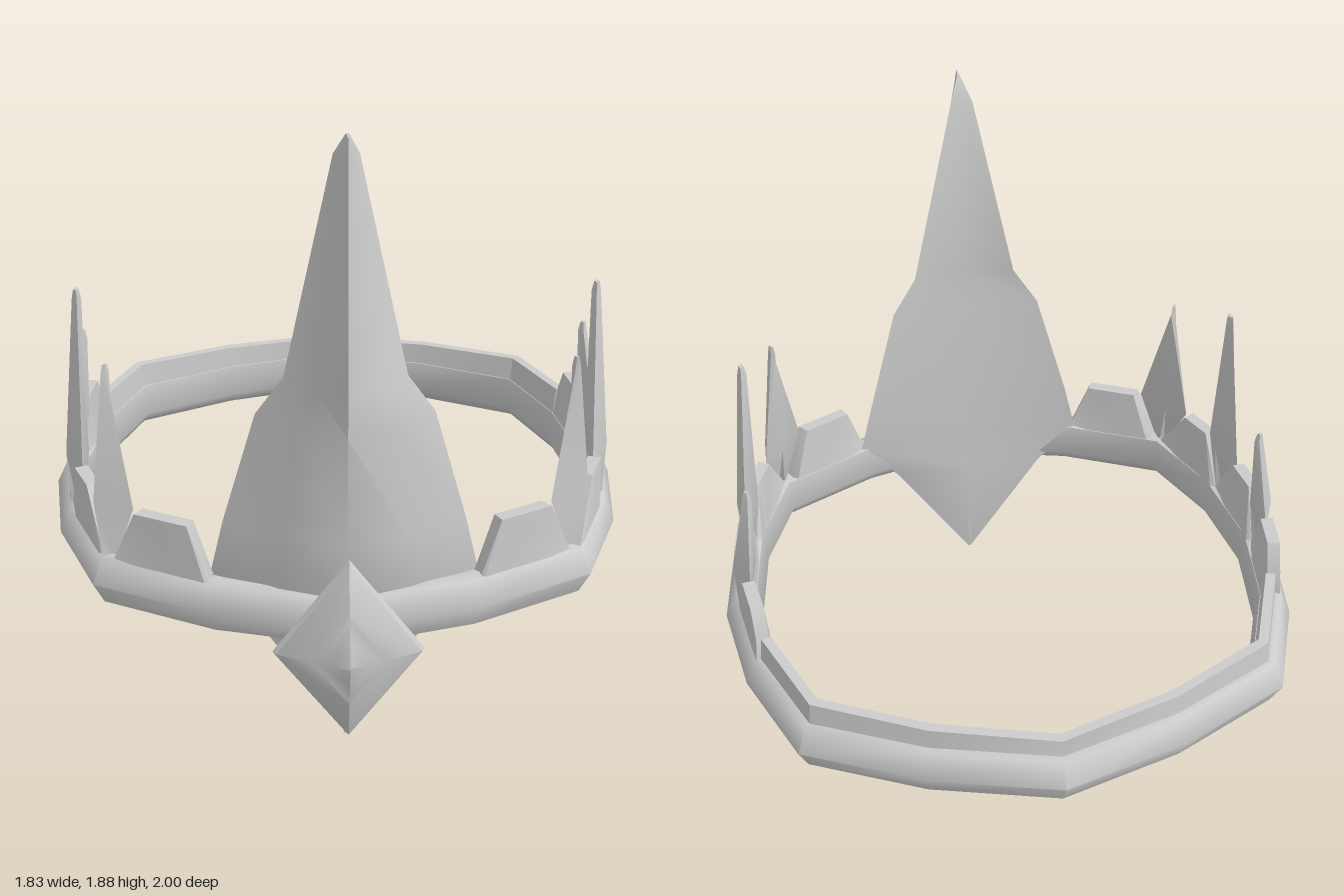
import * as THREE from 'three';
import { toCreasedNormals } from 'three/addons/utils/BufferGeometryUtils.js';

const material = new THREE.MeshStandardMaterial({ color: 0xcccccc });

// Plan of the ring's outer edge as [x, z], left half from front to back
const half = [[0, 0.83], [0.39, 0.73], [0.74, 0.56], [0.87, 0.25], [0.915, -0.08],
  [0.87, -0.4], [0.74, -0.72], [0.39, -0.89], [0, -1]];
const outline = [...half, ...half.slice(1, -1).reverse().map(([x, z]) => [-x, z])]
  .map(([x, z]) => new THREE.Vector2(x, z));

// Inward mitre direction at each corner of the plan
const mitres = outline.map((p, i) => {
  const n = outline.length;
  const normal = (a, b) => new THREE.Vector2(b.y - a.y, a.x - b.x).normalize();
  const a = normal(outline[(i + n - 1) % n], p);
  const b = normal(p, outline[(i + 1) % n]);
  const m = a.clone().add(b).normalize();
  m.divideScalar(m.dot(a));
  return m.dot(p) > 0 ? m.negate() : m;
});

// Point at a corner of the plan, moved inward
function corner(i, inset, y) {
  const p = outline[i].clone().addScaledVector(mitres[i], inset);
  return [p.x, y, p.y];
}

// Point on the left (side 1) or right (side -1) of the plan, found by its z
function along(side, z, inset, y) {
  let i = 0;
  while (i < half.length - 2 && half[i + 1][1] > z) i++;
  const t = (half[i][1] - z) / (half[i][1] - half[i + 1][1]);
  const a = corner(i, inset, y), b = corner(i + 1, inset, y);
  return [side * (a[0] + (b[0] - a[0]) * t), y, a[2] + (b[2] - a[2]) * t];
}

// Skin over a row of equal cross-sections, capped or joined end to end
function loft(name, rings, crease = 0.7, closed = false) {
  const n = rings[0].length, tris = [];
  const count = closed ? rings.length : rings.length - 1;
  for (let i = 0; i < count; i++) {
    const a = rings[i], b = rings[(i + 1) % rings.length];
    for (let j = 0; j < n; j++) {
      const k = (j + 1) % n;
      tris.push([a[j], a[k], b[k]], [a[j], b[k], b[j]]);
    }
  }
  if (!closed) {
    const a = rings[0], b = rings[rings.length - 1];
    for (let j = 1; j < n - 1; j++) tris.push([a[0], a[j + 1], a[j]], [b[0], b[j], b[j + 1]]);
  }
  // Turn the faces outward if the enclosed volume is negative
  const v = (p) => new THREE.Vector3(...p);
  const volume = tris.reduce((s, [a, b, c]) => s + v(a).dot(v(b).cross(v(c))), 0);
  if (volume < 0) tris.forEach((t) => t.reverse());
  const geometry = new THREE.BufferGeometry();
  geometry.setAttribute('position', new THREE.Float32BufferAttribute(tris.flat(2), 3));
  const mesh = new THREE.Mesh(toCreasedNormals(geometry, crease), material);
  mesh.name = name;
  return mesh;
}

export function createModel() {
  const group = new THREE.Group();
  group.name = 'crown';

  // Bevelled ring
  const profile = [[0, 0.455], [0.035, 0.53], [0.06, 0.537], [0.1, 0.525], [0.112, 0.42], [0.085, 0.38], [0.035, 0.38]];
  group.add(loft('ring', outline.map((_, i) => profile.map(([d, y]) => corner(i, d, y))), 1, true));

  // Low rim around the back
  const rim = [];
  for (let i = 5; i <= 11; i++) {
    const top = 0.59 + 0.025 * Math.abs(i - 8) / 3;
    rim.push([[0.05, 0.5], [0.06, top], [0.09, top], [0.1, 0.5]].map(([d, y]) => corner(i, d, y)));
  }
  group.add(loft('backRim', rim));

  // Blunt teeth: start, top start, top end, end (all z), height of the last end
  const teeth = [[0.72, 0.69, 0.61, 0.575, 0.53], [0.55, 0.42, 0.3, 0.21, 0.53],
    [0.21, 0.09, -0.04, -0.12, 0.53], [-0.12, -0.22, -0.35, -0.4, 0.615]];
  // Spikes: base z, widest front z, widest back z, tip z, tip height, tip half width
  const spikes = [[0.56, 0.6, 0.43, 0.515, 1.12, 0.006], [0.21, 0.295, 0.09, 0.19, 1.24, 0.018],
    [-0.12, -0.04, -0.22, -0.13, 0.98, 0.008]];

  for (const side of [1, -1]) {
    const label = side > 0 ? 'left' : 'right';
    teeth.forEach(([a, b, c, d, end], i) => {
      const rings = [[a, 0.53], [b, 0.7], [c, 0.7], [d, end]].map(([z, top]) =>
        [[0.035, 0.5], [0.045, top], [0.085, top], [0.1, 0.5]].map(([inset, y]) => along(side, z, inset, y)));
      group.add(loft(`${label}Tooth${i + 1}`, rings));
    });
    spikes.forEach(([base, front, back, tip, height, w], i) => {
      const section = (f, b, inset, depth, y) => [
        along(side, f, inset, y), along(side, (f + b) / 2, inset - depth, y),
        along(side, b, inset, y), along(side, (f + b) / 2, inset + depth, y)];
      group.add(loft(`${label}Spike${i + 1}`, [
        section(base + 0.01, base - 0.01, 0.06, 0.02, 0.51),
        section(front, back, 0.07, 0.035, 0.7),
        section(tip + w * 1.4, tip - w * 1.4, 0.1, 0.014, height - 0.03),
        section(tip + w, tip - w, 0.1, 0.008, height)]));
    });
  }

  // Tall front blade: y, half width, z of front ridge, side edges and back
  const blade = [[0.005, 0.004, 0.71, 0.65, 0.648], [0.38, 0.26, 0.73, 0.65, 0.65],
    [0.53, 0.39, 0.79, 0.63, 0.66], [0.7, 0.35, 0.8, 0.625, 0.67], [1.06, 0.25, 0.825, 0.66, 0.695],
    [1.18, 0.17, 0.835, 0.68, 0.71], [1.81, 0.035, 0.785, 0.68, 0.69], [1.88, 0.004, 0.78, 0.735, 0.735]];
  group.add(loft('frontBlade', blade.map(([y, w, zf, ze, zb]) => {
    const zm = ze + (zf - ze) * 0.6;
    return [[w, y, ze], [w / 2, y, zm], [0, y, zf], [-w / 2, y, zm], [-w, y, ze], [0, y, zb]];
  }), 0.9));

  // Stepped diamond gem: z and size of each layer
  const gem = [[0.83, 0.3], [0.842, 0.5], [0.89, 0.95], [0.905, 1], [0.92, 0.95],
    [0.962, 0.5], [0.965, 0.43], [0.982, 0.22], [1, 0.02]];
  group.add(loft('frontGem', gem.map(([z, s]) =>
    [[0.213 * s, 0.445, z], [0, 0.445 + 0.292 * s, z], [-0.213 * s, 0.445, z], [0, 0.445 - 0.292 * s, z]]), 0.6));

  return group;
}
